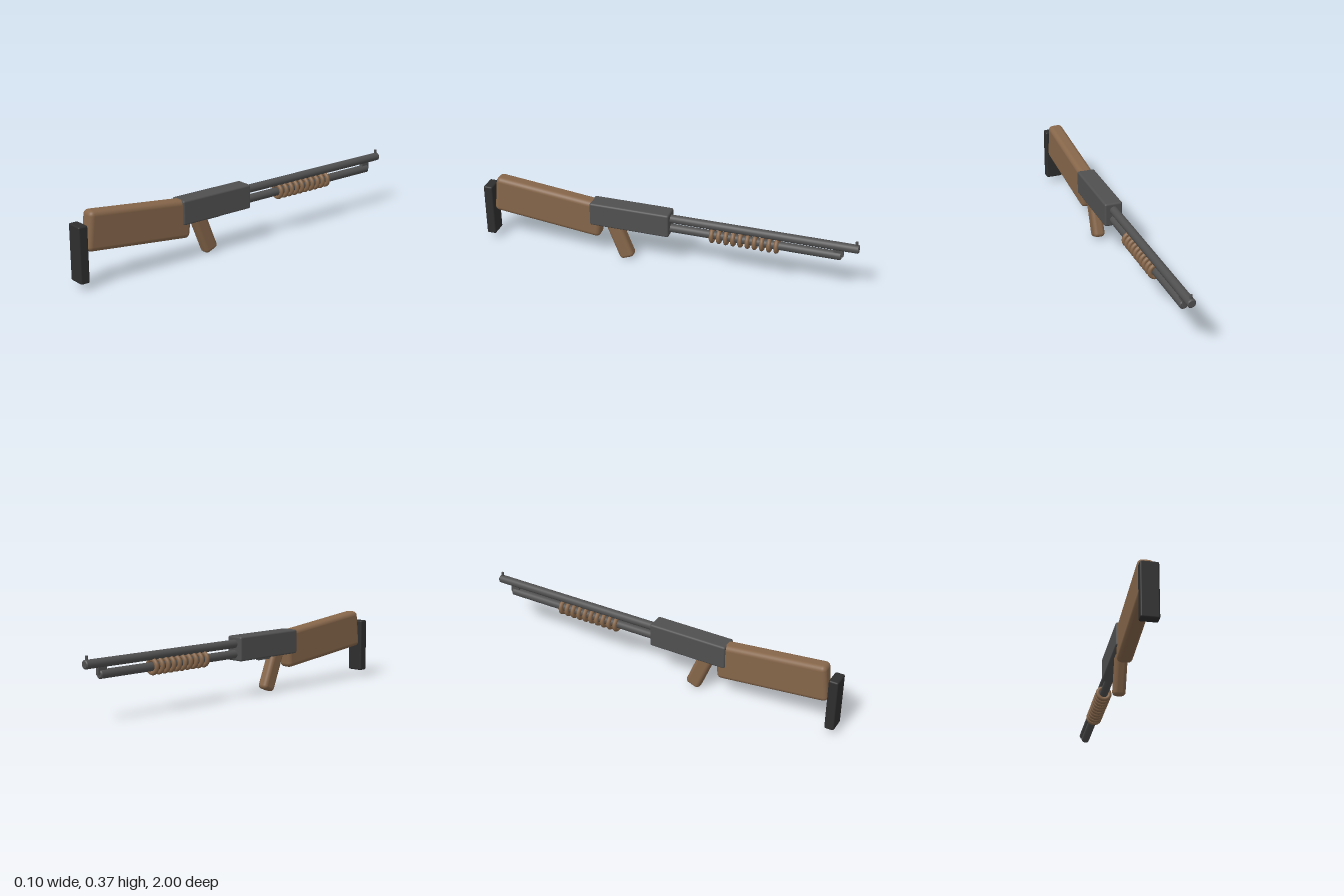
import * as THREE from 'three';
import { RoundedBoxGeometry } from 'three/addons/geometries/RoundedBoxGeometry.js';

const material = (name, color) => {
  const m = new THREE.MeshStandardMaterial({ color });
  m.name = name;
  return m;
};

export function createModel() {
  const group = new THREE.Group();
  const wood = material('wood', 0x86664a);
  const steel = material('steel', 0x505050);
  const rubber = material('rubber', 0x2e2e2e);

  const add = (name, geometry, mat, x, y, z, tilt = 0) => {
    const mesh = new THREE.Mesh(geometry, mat);
    mesh.name = name;
    mesh.position.set(x, y, z);
    mesh.rotation.x = tilt;
    group.add(mesh);
    return mesh;
  };

  // Closed rod along -z with a slightly bevelled end
  const rod = (radius, length, bevel = 0.005) => {
    const profile = [
      [0, 0], [radius, 0], [radius, 0], [radius, length - bevel], [radius, length - bevel],
      [radius - bevel, length], [radius - bevel, length], [0, length],
    ].map(([r, y]) => new THREE.Vector2(r, y));
    return new THREE.LatheGeometry(profile, 24).rotateX(-Math.PI / 2);
  };

  // Stock, pad and grip
  add('stock', new RoundedBoxGeometry(0.08, 0.2, 0.6, 3, 0.025), wood, 0, 0.253, 0.64, -0.11);
  add('buttPad', new RoundedBoxGeometry(0.09, 0.286, 0.05, 2, 0.008), rubber, 0, 0.183, 0.975);
  add('grip', new RoundedBoxGeometry(0.061, 0.25, 0.08, 3, 0.02), wood, 0, 0.133, 0.25, 0.38);

  // Receiver with the thin strip under it
  add('receiver', new RoundedBoxGeometry(0.096, 0.128, 0.43, 2, 0.01), steel, 0, 0.263, 0.185);
  add('triggerStrip', new THREE.BoxGeometry(0.02, 0.02, 0.09), steel, 0, 0.194, 0.185);

  // Barrel, lower tube and the lug joining them
  add('barrel', rod(0.022, 1), steel, 0, 0.288, 0);
  add('lowerTube', rod(0.022, 0.916), steel, 0, 0.234, 0);
  add('barrelLug', new THREE.BoxGeometry(0.02, 0.04, 0.05), steel, 0, 0.252, -0.9);

  // Front sight
  add('sightPost', new THREE.CylinderGeometry(0.007, 0.007, 0.03, 12), steel, 0, 0.314, -0.985);

  // Ribbed fore-end
  const rib = new THREE.TorusGeometry(0.032, 0.0115, 10, 28);
  for (let i = 0; i < 10; i++) {
    add('foreEndRib', rib, wood, 0, 0.234, -0.253 - i * 0.0373);
  }

  return group;
}
